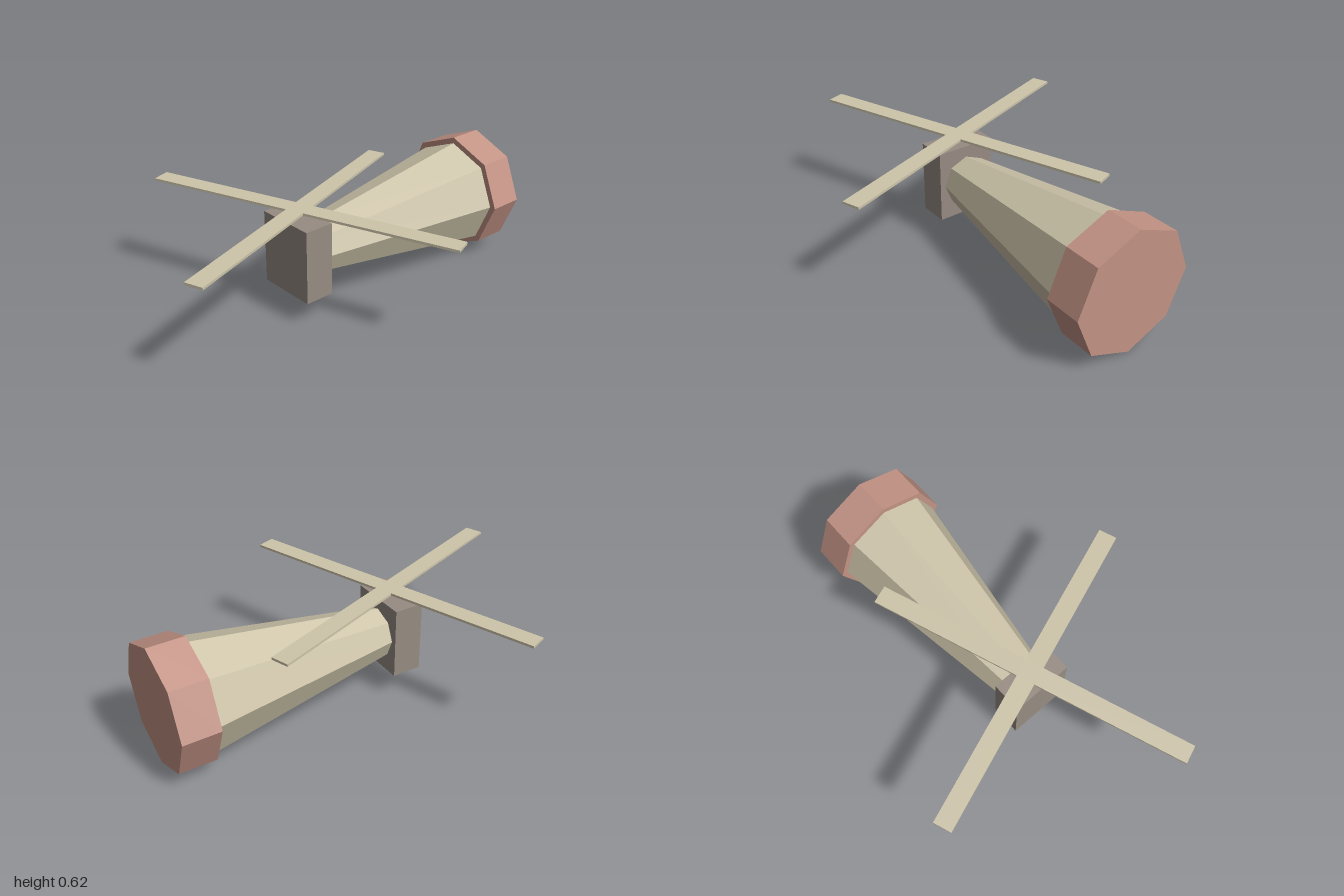
import * as THREE from 'three';

const material = (name, color) => {
  const m = new THREE.MeshStandardMaterial({ color, flatShading: true });
  m.name = name;
  return m;
};

export function createModel() {
  const group = new THREE.Group();
  group.name = 'lyingWindmill';
  const cream = material('cream', 0xcdc4a9);
  const brick = material('brick', 0xc39385);
  const grey = material('grey', 0x978c83);
  const axisY = 0.31;

  const add = (name, geometry, mat, x, y, z) => {
    const mesh = new THREE.Mesh(geometry, mat);
    mesh.name = name;
    mesh.position.set(x, y, z);
    group.add(mesh);
    return mesh;
  };

  // Eight-sided section running along z
  const octagon = (name, rFront, rBack, zFront, zBack, mat) => {
    const g = new THREE.CylinderGeometry(rFront, rBack, zFront - zBack, 8);
    g.rotateX(Math.PI / 2);
    return add(name, g, mat, 0, axisY, (zFront + zBack) / 2);
  };

  octagon('base', 0.308, 0.308, -0.817, -1, brick);
  octagon('tower', 0.127, 0.277, 0.17, -0.817, cream);

  // Head block at the narrow end
  add('head', new THREE.BoxGeometry(0.308, 0.367, 0.15), grey, 0, axisY, 0.245);

  // Four sails as one flat cross
  const half = 0.8, w = 0.045, thickness = 0.012;
  const cross = new THREE.Shape([
    [w, w], [w, half], [-w, half], [-w, w], [-half, w], [-half, -w],
    [-w, -w], [-w, -half], [w, -half], [w, -w], [half, -w], [half, w],
  ].map(([x, y]) => new THREE.Vector2(x, y)));
  const sails = new THREE.ExtrudeGeometry(cross, { depth: thickness, bevelEnabled: false });
  sails.rotateX(-Math.PI / 2);
  sails.rotateY(THREE.MathUtils.degToRad(20));
  add('sails', sails, cream, 0, 0.526, 0.233);

  return group;
}
